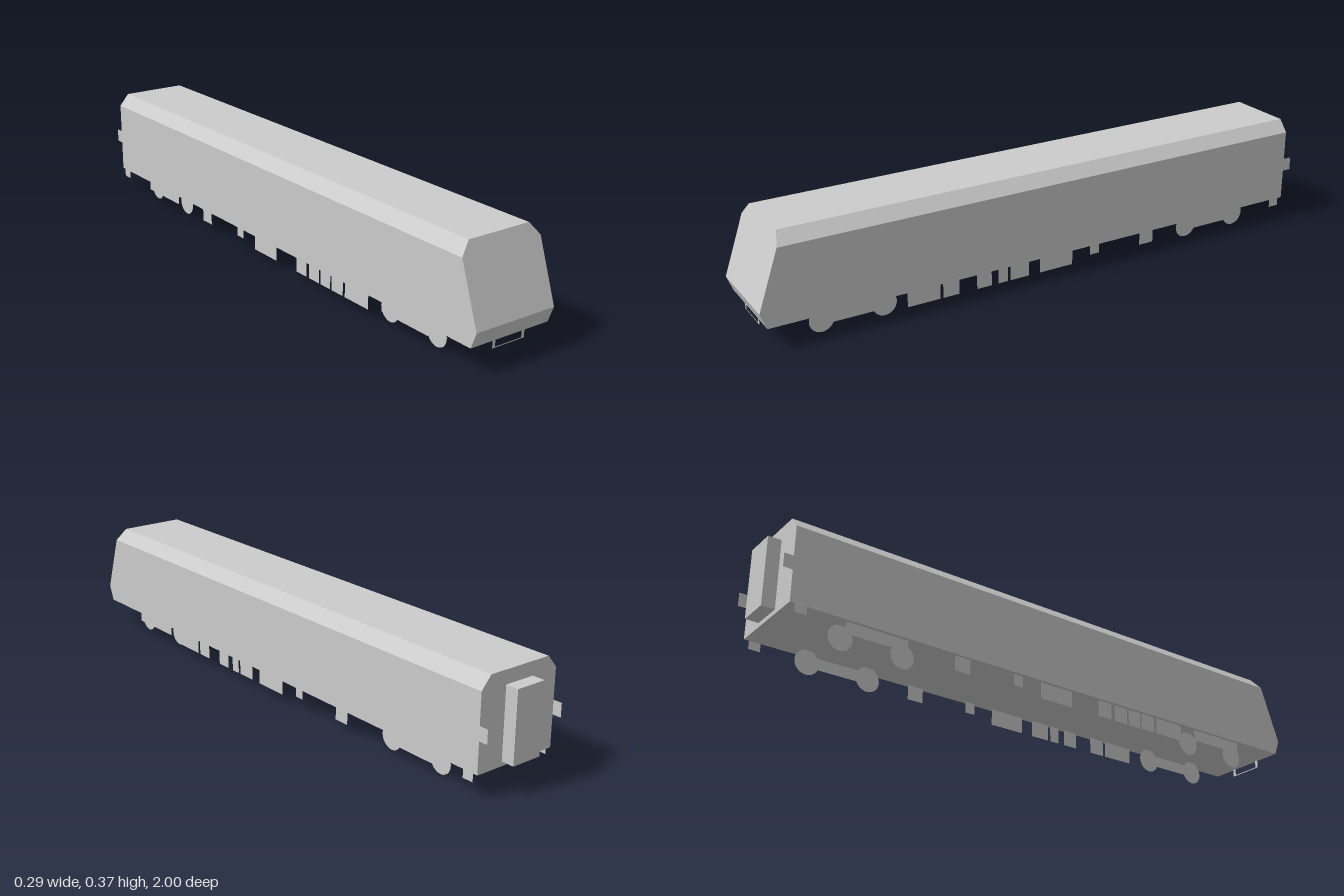
import * as THREE from 'three';
import { ConvexGeometry } from 'three/addons/geometries/ConvexGeometry.js';

const HALF = 0.147, FLOOR = 0.08, BACK = -0.957;

export function createModel() {
  const model = new THREE.Group();
  model.name = 'railCar';
  const solid = new THREE.MeshStandardMaterial({ color: 0xcccccc, flatShading: true });
  const sheet = new THREE.MeshStandardMaterial({ color: 0xcccccc, flatShading: true, side: THREE.DoubleSide });

  const add = (name, geometry, material, x, y, z) => {
    const mesh = new THREE.Mesh(geometry, material);
    mesh.name = name;
    mesh.position.set(x, y, z);
    model.add(mesh);
    return mesh;
  };
  // Flat upright plate facing sideways, spanning z0..z1 and y0..y1
  const sidePlate = (name, x, z0, z1, y0, y1) => {
    const g = new THREE.PlaneGeometry(Math.abs(z1 - z0), y1 - y0).rotateY(Math.sign(x) * Math.PI / 2);
    add(name, g, sheet, x, (y0 + y1) / 2, (z0 + z1) / 2);
  };

  // Body shell: chamfered roof, raked windscreen and undercut nose
  const points = [];
  for (const s of [-1, 1]) {
    for (const [x, y, z] of [
      [HALF, FLOOR, 0.98], [HALF, 0.132, 1], [HALF, 0.327, 0.932], [0.113, 0.367, 0.918],
      [HALF, FLOOR, BACK], [HALF, 0.327, BACK], [0.113, 0.367, BACK],
    ]) points.push(new THREE.Vector3(s * x, y, z));
  }
  add('body', new ConvexGeometry(points), solid, 0, 0, 0);

  // Gangway box on the rear end
  add('gangway', new THREE.BoxGeometry(0.105, 0.228, 1 + BACK), solid, 0, 0.209, (BACK - 1) / 2);

  // Front guard: two uprights and a thin cross bar
  for (const s of [-1, 1]) {
    add('guardUpright', new THREE.PlaneGeometry(0.011, 0.027), sheet, s * 0.0555, 0.0665, 0.975);
  }
  add('guardBar', new THREE.PlaneGeometry(0.11, 0.003), sheet, 0, 0.0545, 0.975);

  // Parts shared by both sides
  for (const s of [-1, 1]) {
    for (const [front, rear] of [[0.797, 0.59], [-0.563, -0.771]]) {
      for (const z of [front, rear]) {
        const g = new THREE.CircleGeometry(0.041, 24).rotateY(s * Math.PI / 2);
        add('wheel', g, sheet, s * 0.102, 0.041, z);
      }
      sidePlate('bogieFrame', s * 0.135, rear, front, 0.042, FLOOR);
    }
    sidePlate('rearStep', s * HALF, -0.941, -0.903, 0.053, FLOOR);
    sidePlate('rearBracket', s * HALF, -0.987, BACK, 0.182, 0.227);
    sidePlate('smallBox', s * 0.135, -0.177, -0.142, 0.042, FLOOR);
    sidePlate('rearBox', s * 0.135, -0.397, -0.342, 0.031, FLOOR);
  }

  // Underfloor equipment, arranged differently on each side
  const common = [[0.415, 0.528], [0.348, 0.405], [0.232, 0.285], [-0.072, 0.053]];
  const equipment = [
    [1, [...common, [0.172, 0.207], [0.094, 0.163]]],
    [-1, [...common, [0.292, 0.342], [0.163, 0.218]]],
  ];
  for (const [s, spans] of equipment) {
    for (const [z0, z1] of spans) sidePlate('equipmentBox', s * 0.135, z0, z1, 0.025, FLOOR);
  }
  return model;
}
